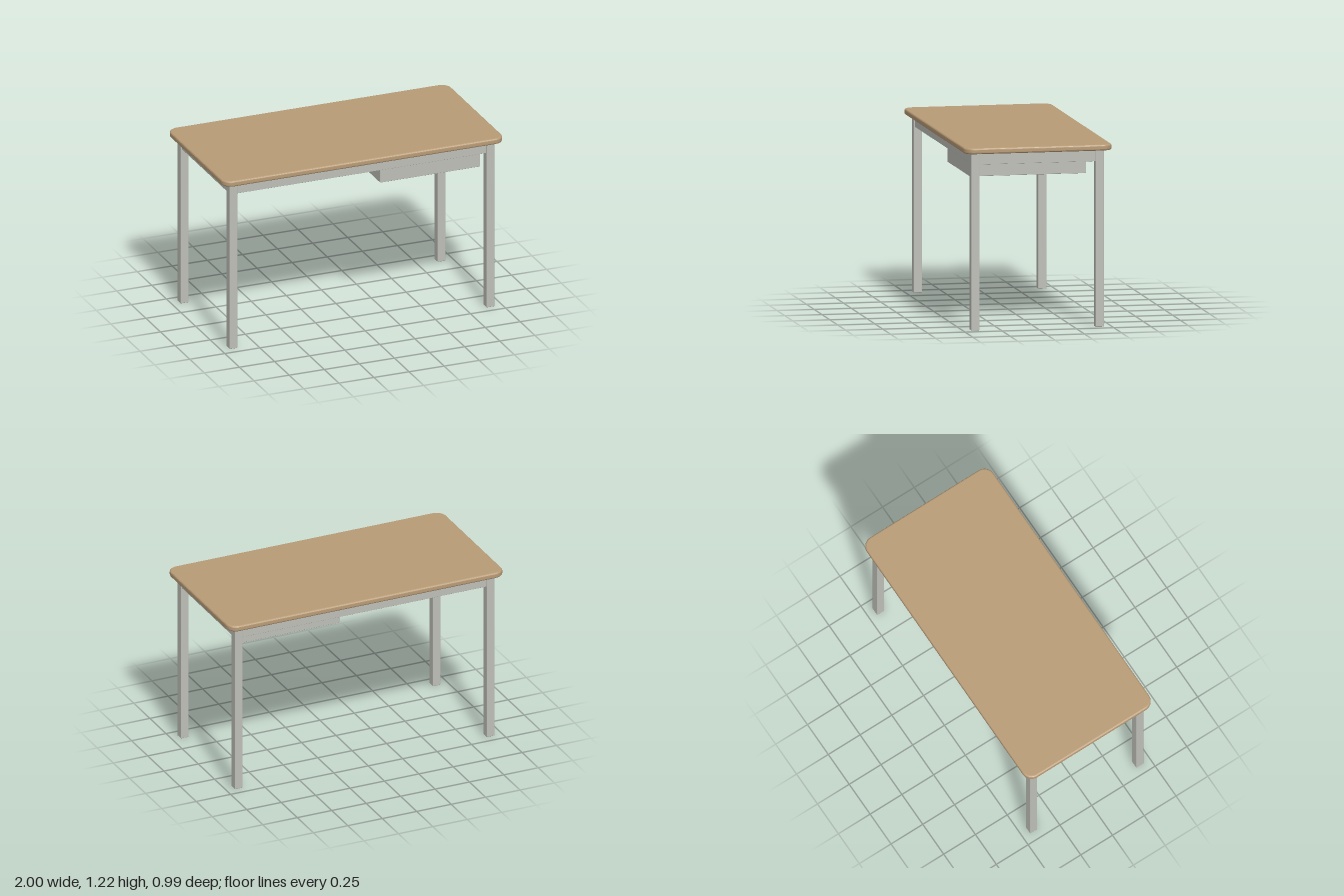
import * as THREE from 'three';
import { RoundedBoxGeometry } from 'three/addons/geometries/RoundedBoxGeometry.js';

export function createModel() {
  const desk = new THREE.Group();
  desk.name = 'desk';

  const wood = new THREE.MeshStandardMaterial({ color: 0xb89b76 });
  wood.name = 'wood';
  const metal = new THREE.MeshStandardMaterial({ color: 0xbfbfb8 });
  metal.name = 'greyMetal';

  const TOP_Y = 1.217, UNDER_Y = 1.177;
  const LEG = 0.056, LEG_X = 0.915, LEG_Z = 0.418;
  const RAIL_H = 0.077, RAIL_T = 0.04;

  function addBox(name, size, position, radius) {
    const geometry = new RoundedBoxGeometry(...size, 2, radius);
    const mesh = new THREE.Mesh(geometry, metal);
    mesh.name = name;
    mesh.position.set(...position);
    desk.add(mesh);
  }

  // Desktop: rounded rectangle with a softly rounded rim
  const bevel = 0.012, w = 1 - bevel, d = 0.497 - bevel, r = 0.07 - bevel;
  const outline = new THREE.Shape();
  outline.absarc(w - r, d - r, r, 0, Math.PI / 2);
  outline.absarc(-w + r, d - r, r, Math.PI / 2, Math.PI);
  outline.absarc(-w + r, -d + r, r, Math.PI, Math.PI * 1.5);
  outline.absarc(w - r, -d + r, r, Math.PI * 1.5, Math.PI * 2);
  const topGeometry = new THREE.ExtrudeGeometry(outline, {
    depth: TOP_Y - UNDER_Y - 2 * bevel,
    bevelThickness: bevel, bevelSize: bevel, bevelSegments: 4, curveSegments: 10,
  });
  topGeometry.rotateX(-Math.PI / 2);
  const top = new THREE.Mesh(topGeometry, wood);
  top.name = 'desktop';
  top.position.y = UNDER_Y + bevel;
  desk.add(top);

  // Four square legs
  for (const [sx, side] of [[1, 'left'], [-1, 'right']]) {
    for (const [sz, end] of [[1, 'Front'], [-1, 'Back']]) {
      addBox(side + end + 'Leg', [LEG, UNDER_Y, LEG], [sx * LEG_X, UNDER_Y / 2, sz * LEG_Z], 0.004);
    }
  }

  // Rails joining the legs under the desktop
  const railY = UNDER_Y - RAIL_H / 2;
  for (const [s, long, short] of [[1, 'front', 'left'], [-1, 'back', 'right']]) {
    addBox(long + 'Rail', [2 * LEG_X - LEG + 0.006, RAIL_H, RAIL_T], [0, railY, s * LEG_Z], 0.002);
    addBox(short + 'Rail', [RAIL_T, RAIL_H, 2 * LEG_Z - LEG + 0.006], [s * LEG_X, railY, 0], 0.002);
  }

  // Drawer box hanging below the rails on the left
  const x0 = 0.133, x1 = 0.845, y0 = 1.01, y1 = 1.176, z0 = -0.348, z1 = 0.436;
  addBox('drawer', [x1 - x0, y1 - y0, z1 - z0], [(x0 + x1) / 2, (y0 + y1) / 2, (z0 + z1) / 2], 0.003);

  return desk;
}
